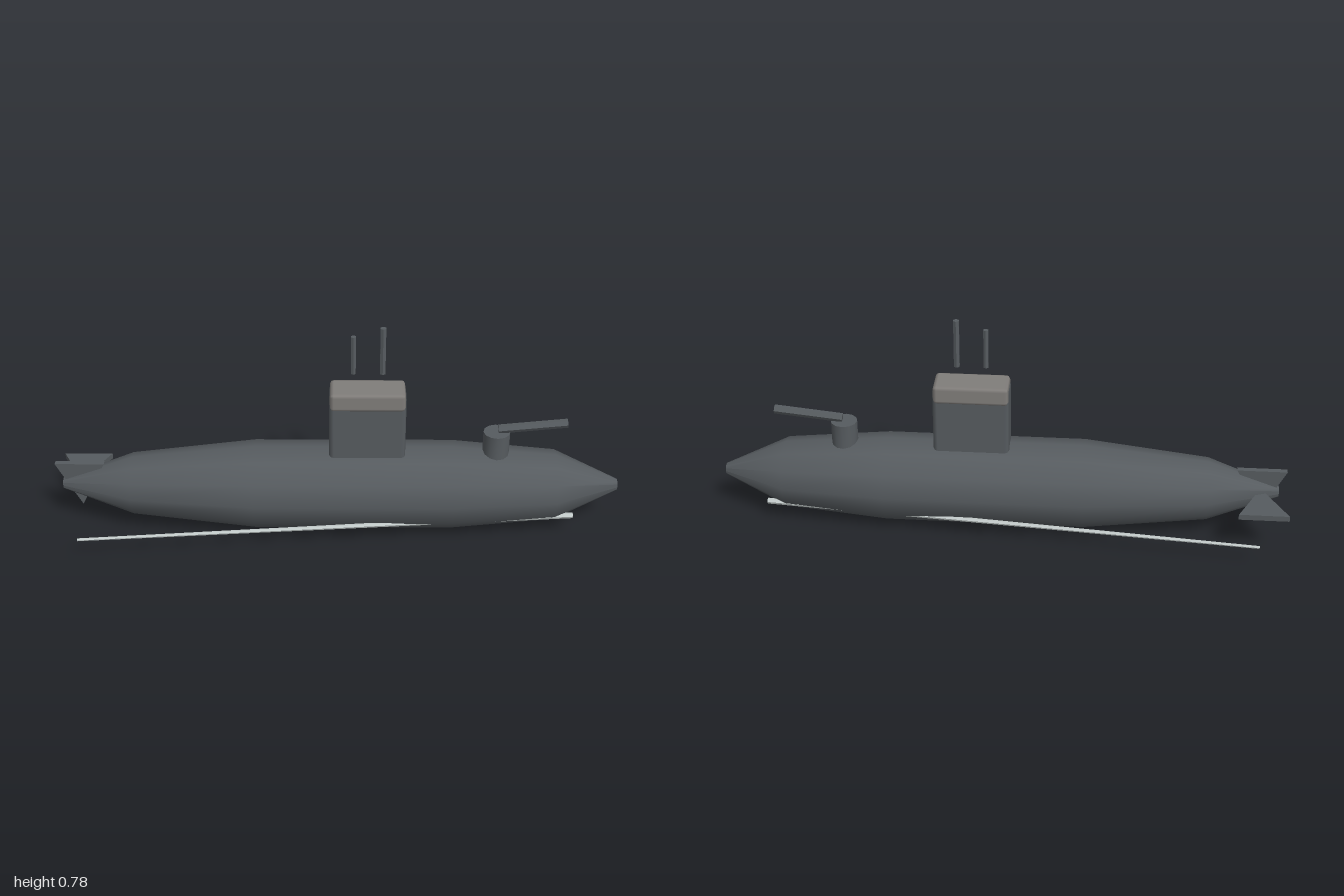
import * as THREE from 'three';
import { toCreasedNormals } from 'three/addons/utils/BufferGeometryUtils.js';
import { RoundedBoxGeometry } from 'three/addons/geometries/RoundedBoxGeometry.js';

const paint = (name, color) => {
  const material = new THREE.MeshStandardMaterial({ color });
  material.name = name;
  return material;
};

export function createModel() {
  const model = new THREE.Group();
  model.name = 'submarine';
  const steel = paint('dark steel', 0x565b5f);
  const capGrey = paint('warm grey', 0x807d7a);
  const wire = paint('pale metal', 0xc4cccb);

  const add = (name, geometry, material, x = 0, y = 0, z = 0) => {
    const mesh = new THREE.Mesh(geometry, material);
    mesh.name = name;
    mesh.position.set(x, y, z);
    model.add(mesh);
    return mesh;
  };

  // Tapered rod running between two points
  const rod = (name, from, to, r0, r1, sides, material) => {
    const a = new THREE.Vector3(...from);
    const b = new THREE.Vector3(...to);
    const dir = b.clone().sub(a);
    const geometry = toCreasedNormals(new THREE.CylinderGeometry(r1, r0, dir.length(), sides), 0.7);
    const mesh = add(name, geometry, material);
    mesh.position.copy(a).add(b).multiplyScalar(0.5);
    mesh.quaternion.setFromUnitVectors(new THREE.Vector3(0, 1, 0), dir.normalize());
    return mesh;
  };

  // Twelve-sided hull, lathed along x: [radius, x]
  const profile = [
    [0, -0.975], [0.02, -0.975], [0.11, -0.725], [0.157, -0.29],
    [0.157, 0.41], [0.125, 0.775], [0.02, 1], [0, 1],
  ].map(([r, x]) => new THREE.Vector2(r, x));
  const hull = new THREE.LatheGeometry(profile, 12).rotateZ(-Math.PI / 2);
  add('hull', toCreasedNormals(hull, 0.7), steel, 0, 0.16, 0);

  // Conning tower with its wider cap
  add('conningTower', new RoundedBoxGeometry(0.266, 0.288, 0.106, 1, 0.016), steel, 0.107, 0.403, 0);
  add('towerCap', new RoundedBoxGeometry(0.26, 0.067, 0.117, 1, 0.013), capGrey, 0.107, 0.525, 0);

  // Periscopes standing clear of the tower
  rod('shortPeriscope', [0.057, 0.613, 0], [0.057, 0.755, 0], 0.0095, 0.0095, 6, steel);
  rod('tallPeriscope', [0.157, 0.613, 0], [0.157, 0.787, 0], 0.011, 0.011, 6, steel);

  // Deck gun
  rod('gunPedestal', [0.56, 0.27, 0], [0.56, 0.38, 0], 0.047, 0.047, 12, steel);
  rod('gunBarrel', [0.565, 0.391, 0], [0.805, 0.416, 0], 0.016, 0.016, 6, steel);

  // Triangular stern fins, wide at the outer edge
  const finShape = new THREE.Shape();
  finShape.moveTo(-0.087, 0.085);
  finShape.lineTo(0, -0.085);
  finShape.lineTo(0.087, 0.085);
  finShape.closePath();
  const fin = () => new THREE.ExtrudeGeometry(finShape, { depth: 0.02, bevelEnabled: false })
    .translate(0, 0, -0.01);
  add('rudder', fin(), steel, -0.912, 0.16, 0);
  add('sternPlane', fin().rotateX(-Math.PI / 2), steel, -0.912, 0.16, -0.09);

  // Long wires trailing from the bow on each side
  for (const side of [1, -1]) {
    rod(side > 0 ? 'frontWire' : 'backWire',
      [-0.9, 0.076, side * 0.23], [0.84, 0.077, side * 0.075], 0.005, 0.0105, 6, wire);
  }
  return model;
}
